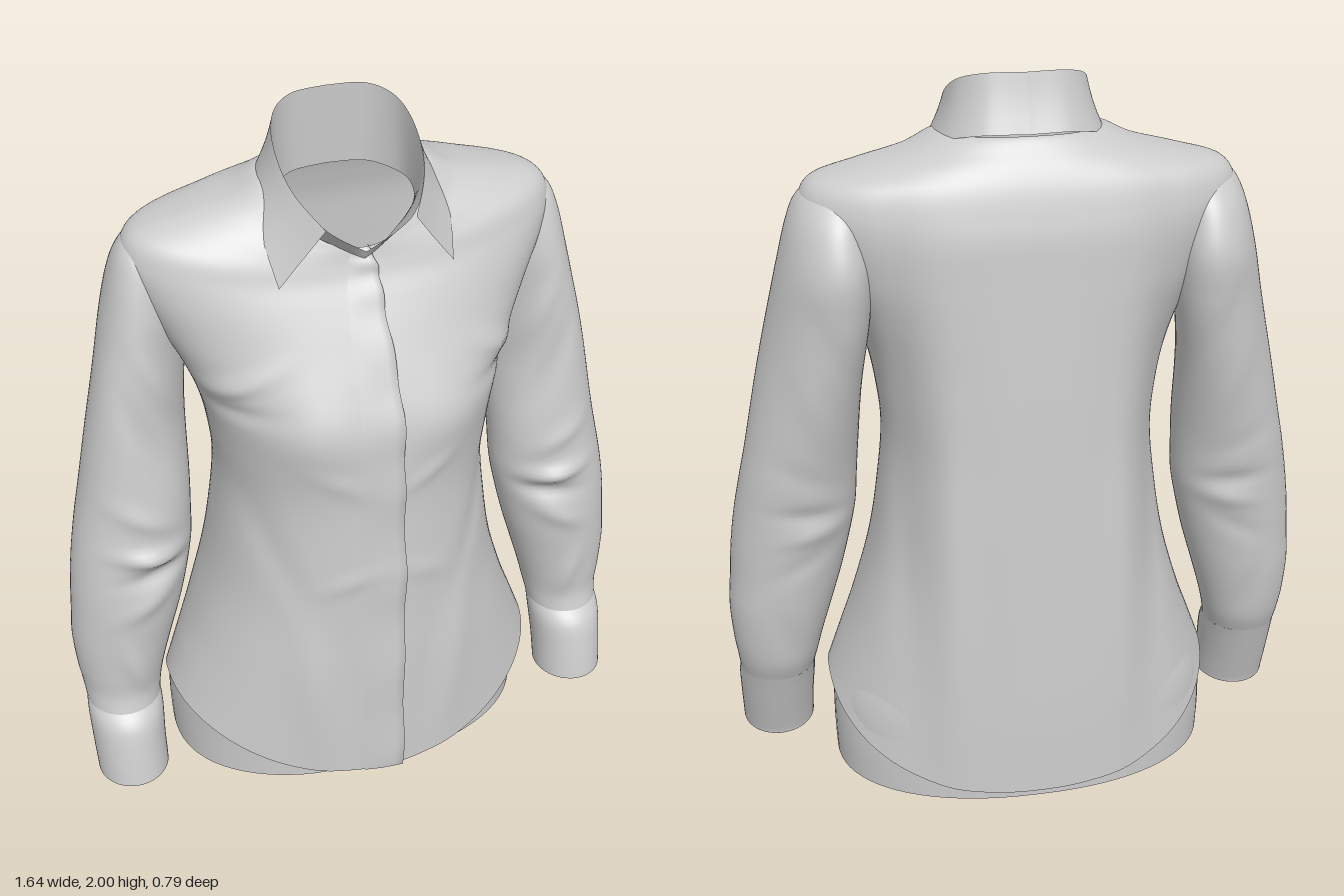
import * as THREE from 'three';

const cloth = new THREE.MeshStandardMaterial({ color: 0xcccccc, side: THREE.DoubleSide, roughness: 0.9 });

// Smooth surface from fn(u, v); "closed" joins the last column to the first
function surface(name, nu, nv, fn, closed = false, flip = false) {
  const pos = [], idx = [], cols = closed ? nu : nu + 1;
  for (let j = 0; j <= nv; j++)
    for (let i = 0; i < cols; i++) pos.push(...fn(i / nu, j / nv));
  for (let j = 0; j < nv; j++)
    for (let i = 0; i < nu; i++) {
      const k = (i + 1) % cols;
      const a = j * cols + i, b = j * cols + k, c = a + cols, d = b + cols;
      if (flip) idx.push(a, b, c, b, d, c);
      else idx.push(a, c, b, b, c, d);
    }
  const g = new THREE.BufferGeometry();
  g.setAttribute('position', new THREE.Float32BufferAttribute(pos, 3));
  g.setIndex(idx);
  g.computeVertexNormals();
  const mesh = new THREE.Mesh(g, cloth);
  mesh.name = name;
  return mesh;
}

// Catmull-Rom blend through rows of numbers
function blend(rows, t) {
  const n = rows.length - 1, s = Math.min(t * n, n - 1e-6), i = Math.floor(s), f = s - i;
  const at = k => rows[Math.max(0, Math.min(n, k))];
  return rows[i].map((p1, k) => {
    const p0 = at(i - 1)[k], p2 = at(i + 1)[k], p3 = at(i + 2)[k];
    return p1 + 0.5 * f * (p2 - p0 + f * (2 * p0 - 5 * p1 + 4 * p2 - p3 + f * (3 * (p1 - p2) + p3 - p0)));
  });
}

const spow = (v, p) => Math.sign(v) * Math.abs(v) ** p;
const bell = (d, w) => Math.exp(-((d / w) ** 2));

// Sum of soft creases: [x, y, angle, length, width, height]
function creases(list, x, y) {
  let sum = 0;
  for (const [cx, cy, ang, len, wid, h] of list) {
    const dx = x - cx, dy = y - cy, c = Math.cos(ang), s = Math.sin(ang);
    sum += h * bell(dx * c + dy * s, len) * bell(dy * c - dx * s, wid);
  }
  return sum;
}

// Body rings, hem to neck: y front, y side, y back, half width, z front, z back
const bodyRows = [
  [0.08, 0.26, 0.02, 0.553, 0.385, -0.395],
  [0.24, 0.36, 0.22, 0.515, 0.385, -0.39],
  [0.45, 0.48, 0.45, 0.47, 0.38, -0.38],
  [0.65, 0.65, 0.65, 0.42, 0.37, -0.372],
  [0.82, 0.82, 0.82, 0.39, 0.365, -0.365],
  [1.0, 1.0, 1.0, 0.372, 0.355, -0.355],
  [1.15, 1.15, 1.15, 0.385, 0.35, -0.345],
  [1.27, 1.27, 1.27, 0.41, 0.335, -0.335],
  [1.38, 1.38, 1.38, 0.45, 0.295, -0.325],
  [1.49, 1.49, 1.49, 0.505, 0.24, -0.315],
  [1.57, 1.6, 1.6, 0.555, 0.195, -0.305],
  [1.62, 1.68, 1.67, 0.57, 0.165, -0.29],
  [1.655, 1.74, 1.73, 0.535, 0.15, -0.272],
  [1.68, 1.775, 1.775, 0.42, 0.142, -0.25],
  [1.695, 1.805, 1.81, 0.3, 0.138, -0.225],
  [1.7, 1.84, 1.845, 0.215, 0.136, -0.195],
  [1.68, 1.8, 1.84, 0.19, 0.14, -0.172],
];
const frontFolds = [
  [0.2, 1.27, 0, 0.13, 0.12, 0.025],
  [0.4, 1.36, -0.5, 0.12, 0.025, 0.022], [0.38, 1.3, -0.2, 0.1, 0.022, -0.016],
  [0.3, 0.9, 1.2, 0.2, 0.04, -0.01], [0.22, 0.45, 1.5, 0.25, 0.05, 0.01],
  [0.12, 1.12, 0.5, 0.08, 0.025, 0.006], [0.1, 0.8, -0.4, 0.08, 0.025, 0.006],
  [0.12, 0.4, 1.55, 0.25, 0.035, -0.007],
];
const backFolds = [
  [0.24, 0.75, 1.57, 0.6, 0.06, 0.022], [0, 1.0, 1.57, 0.5, 0.12, -0.012],
  [0.35, 1.0, 1.57, 0.45, 0.04, -0.018],
];

function bodyPoint(v, a, off = 0) {
  const [yF, yS, yB, hw, zF, zB] = blend(bodyRows, v);
  const s = Math.sin(a), p = 2 / (s > 0 ? 2.1 : 2.3);
  const x = hw * spow(Math.cos(a), p), c = spow(s, p), mid = (zF + zB) / 2;
  const y = yS + (s > 0 ? (yF - yS) * c * c : (yB - yS) * Math.abs(c) ** 1.4);
  const bump = creases(s > 0 ? frontFolds : backFolds, Math.abs(x), y) * Math.min(1, Math.abs(c) * 1.6);
  return [x, y, mid + c * (zF - zB) / 2 + Math.sign(s) * (bump + off)];
}

// Button strip columns, one crisp edge and one soft: x and lift off the body
const strip = [[0.045, -0.01], [0.045, 0.012], [0.02, 0.01], [-0.02, 0.007], [-0.06, 0.003], [-0.1, -0.004]];
function stripPoint(u, v) {
  const [x0, off] = strip[Math.round(u * (strip.length - 1))], t = v * 0.92, fade = 1 - 0.7 * v ** 3;
  const x = x0 * fade + 0.004 * Math.sin(v * 41) * Math.sin(v * 17);
  const hw = blend(bodyRows, t)[3];
  return bodyPoint(t, Math.acos(spow(x / hw, 1.05)), off > 0 ? off * fade + 0.003 * Math.sin(v * 55) * off / 0.012 : off);
}

// Sleeve rings, wrist to shoulder: y, x inner, x outer, z front, z back
const sleeveRows = [
  [0.275, 0.59, 0.803, 0.135, -0.088], [0.33, 0.578, 0.808, 0.123, -0.11],
  [0.4, 0.56, 0.816, 0.125, -0.125], [0.5, 0.53, 0.82, 0.13, -0.14],
  [0.6, 0.5, 0.812, 0.135, -0.15], [0.7, 0.475, 0.803, 0.135, -0.16],
  [0.8, 0.455, 0.788, 0.13, -0.17], [0.9, 0.448, 0.768, 0.12, -0.182],
  [1.0, 0.442, 0.746, 0.11, -0.195], [1.2, 0.43, 0.705, 0.08, -0.225],
  [1.4, 0.405, 0.66, 0.055, -0.255], [1.52, 0.4, 0.632, 0.045, -0.265],
  [1.62, 0.41, 0.606, 0.025, -0.235], [1.685, 0.42, 0.58, 0, -0.19],
  [1.72, 0.445, 0.545, -0.04, -0.145], [1.735, 0.49, 0.5, -0.09, -0.1],
];
const sleeveFolds = [
  [0.58, 0.83, 0.1, 0.1, 0.025, 0.026], [0.56, 0.77, -0.15, 0.1, 0.025, -0.022],
  [0.6, 0.68, -0.5, 0.1, 0.03, 0.014], [0.6, 0.95, 0.5, 0.12, 0.03, 0.01],
  [0.66, 0.42, 1.3, 0.1, 0.03, 0.012], [0.5, 1.3, 1.1, 0.15, 0.03, 0.014],
  [0.56, 1.15, 1.2, 0.2, 0.03, -0.012],
];
function sleevePoint(u, v) {
  const [y, xi, xo, zF, zB] = blend(sleeveRows, v), a = u * Math.PI * 2;
  const c = Math.cos(a), s = Math.sin(a), rx = (xo - xi) / 2;
  const x = (xi + xo) / 2 + c * rx;
  const fold = creases(sleeveFolds, x, y) * (s > 0 ? 1 : -0.4) * Math.abs(s);
  const skew = 0.4 * THREE.MathUtils.smoothstep(y, 0.9, 1.4);
  return [x, y, (zF + zB) / 2 + s * ((zF - zB) / 2 + fold) + skew * c * rx];
}

// Cuff rings, turned-in bottom edge to wrist, tilted forward
const cuffRows = [
  [0.075, 0.612, 0.788, 0.195, 0.0], [0.05, 0.6, 0.802, 0.212, -0.012],
  [0.06, 0.598, 0.804, 0.212, -0.015], [0.14, 0.596, 0.806, 0.196, -0.042],
  [0.23, 0.59, 0.807, 0.172, -0.072], [0.275, 0.59, 0.803, 0.135, -0.088],
];
function cuffPoint(u, v) {
  const [y, xi, xo, zF, zB] = blend(cuffRows, v), a = u * Math.PI * 2;
  return [(xi + xo) / 2 + Math.cos(a) * (xo - xi) / 2, y + 0.01 * (1 - v) * Math.sin(a),
    (zF + zB) / 2 + Math.sin(a) * (zF - zB) / 2];
}

// Collar lines, centre back to front
const foldLine = [[0, 2, -0.16], [0.1, 1.998, -0.145], [0.162, 1.975, -0.09], [0.183, 1.925, 0],
  [0.168, 1.86, 0.1], [0.115, 1.797, 0.195]];
const leafEdge = [[0, 1.855, -0.205], [0.11, 1.855, -0.195], [0.195, 1.835, -0.13], [0.23, 1.815, -0.02],
  [0.243, 1.74, 0.085], [0.228, 1.64, 0.168]];
const standTop = [...foldLine.slice(0, 5), [0.11, 1.79, 0.18], [0, 1.7, 0.16]];
const standBase = [[0, 1.78, -0.168], [0.1, 1.78, -0.15], [0.165, 1.77, -0.09], [0.18, 1.765, -0.02],
  [0.16, 1.74, 0.04], [0.085, 1.69, 0.085], [0, 1.65, 0.135]];

// Ruled sheet between two lines, bowed outward by "bulge"
function between(low, high, bulge, side) {
  return (u, v) => {
    const p = blend(low, u), q = blend(high, u), b = bulge * Math.sin(v * Math.PI);
    const r = p.map((n, k) => n + (q[k] - n) * v);
    const ang = u * 2.6;
    return [side * (r[0] + b * Math.sin(ang)), r[1], r[2] - b * Math.cos(ang)];
  };
}

// Hips under the hem: y, half width, z front, z back
const hipRows = [[0, 0.54, 0.3, -0.387], [0.12, 0.543, 0.3, -0.387], [0.24, 0.535, 0.31, -0.38], [0.36, 0.49, 0.32, -0.37]];
function hipPoint(u, v) {
  const [y, hw, zF, zB] = blend(hipRows, v), a = u * Math.PI * 2;
  const x = hw * spow(Math.cos(a), 0.9);
  const dip = a < Math.PI ? 0.03 * bell(x, 0.1) : 0;
  return [x, y, (zF + zB) / 2 + spow(Math.sin(a), 0.9) * (zF - zB) / 2 - dip];
}

export function createModel() {
  const shirt = new THREE.Group();
  shirt.name = 'shirt';
  shirt.add(surface('body', 128, 140, (u, v) => bodyPoint(v, u * Math.PI * 2), true));
  shirt.add(surface('buttonPlacket', strip.length - 1, 120, stripPoint));
  shirt.add(surface('hips', 80, 12, hipPoint, true));
  for (const side of [1, -1]) {
    const label = side > 0 ? 'left' : 'right', flip = side < 0;
    const mirror = fn => (u, v) => { const p = fn(u, v); return [side * p[0], p[1], p[2]]; };
    shirt.add(surface(label + 'Sleeve', 56, 110, mirror(sleevePoint), true, flip));
    shirt.add(surface(label + 'Cuff', 56, 20, mirror(cuffPoint), true, flip));
    shirt.add(surface(label + 'CollarLeaf', 50, 10, between(leafEdge, foldLine, -0.004, side), false, flip));
    shirt.add(surface(label + 'CollarStand', 50, 8, between(standBase, standTop, 0, side), false, !flip));
  }
  return shirt;
}
